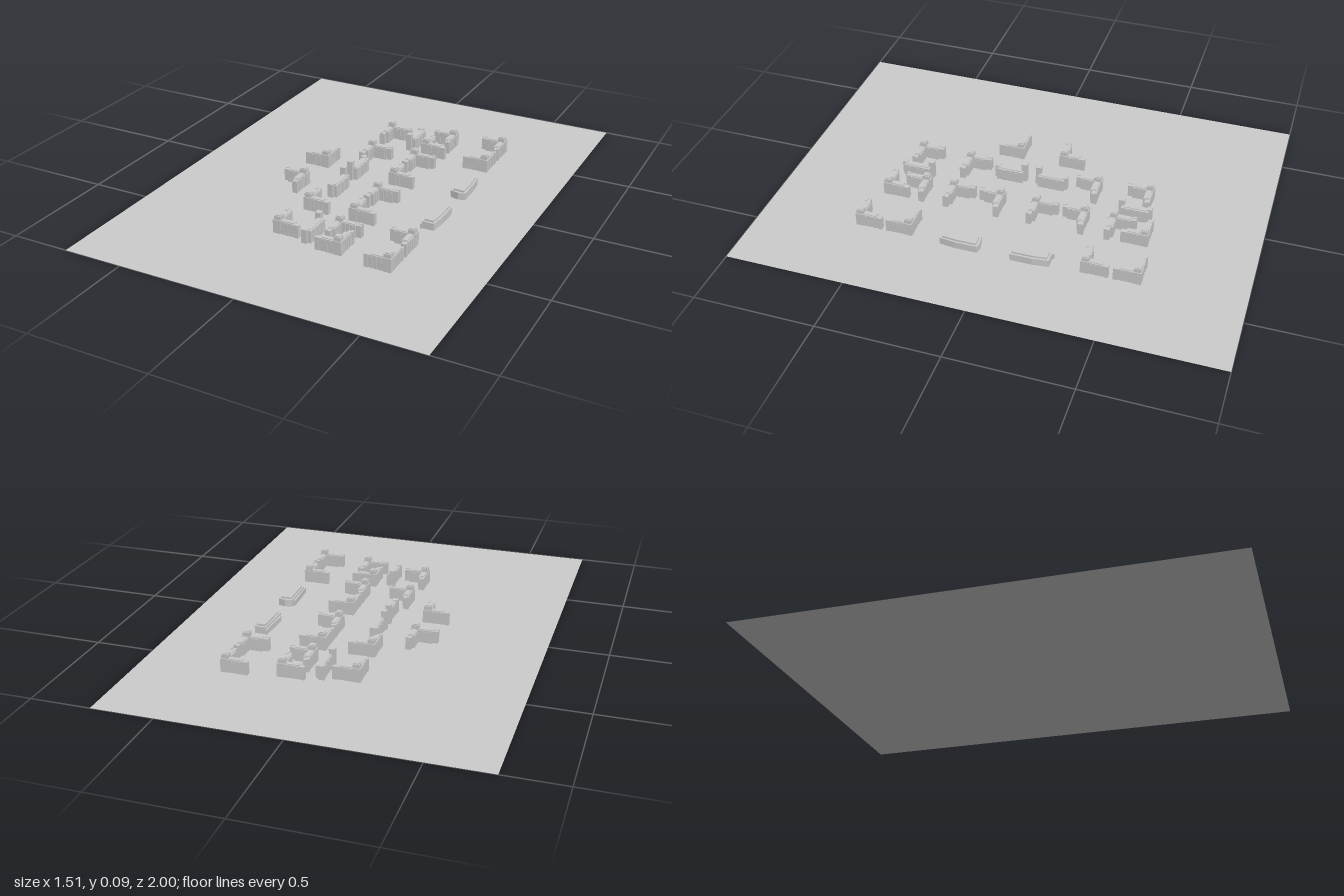
import * as THREE from 'three';

const material = new THREE.MeshStandardMaterial({ color: 0xcccccc, flatShading: true, side: THREE.DoubleSide });

// Upright prism over a plan outline of [x, z] points
function prism(name, outline, height, base = 0.001) {
  const shape = new THREE.Shape(outline.map(([x, z]) => new THREE.Vector2(x, -z)));
  const geometry = new THREE.ExtrudeGeometry(shape, { depth: height - base, bevelEnabled: false });
  geometry.rotateX(-Math.PI / 2).translate(0, base, 0);
  const mesh = new THREE.Mesh(geometry, material);
  mesh.name = name;
  return mesh;
}

function block(name, x0, x1, z0, z1, height, base) {
  return prism(name, [[x0, z1], [x1, z1], [x1, z0], [x0, z0]], height, base);
}

// Wing running along +x from a tower, with bays and a narrower end house
function wing() {
  const g = new THREE.Group();
  g.name = 'wing';
  g.add(
    block('wingBody', 0.012, 0.072, -0.015, 0.013, 0.055),
    block('wingRoof', 0.016, 0.068, -0.010, 0.008, 0.058, 0.055),
    block('endHouse', 0.072, 0.093, -0.015, 0.005, 0.053),
    block('endBay', 0.077, 0.094, -0.018, -0.008, 0.056)
  );
  for (const x of [0.027, 0.045, 0.063])
    g.add(block('bay', x - 0.004, x + 0.004, -0.017, 0.015, 0.05));
  return g;
}

// L-shaped corner building: sx and sz give the wing directions
function cornerBuilding(x, z, sx, sz) {
  const g = new THREE.Group();
  g.name = 'cornerBuilding';
  const along = wing();
  const across = wing();
  // Swap x and z so the second wing mirrors the first across the diagonal
  across.rotation.y = -Math.PI / 2;
  across.scale.z = -1;
  g.add(
    along, across,
    block('towerBase', -0.018, 0.015, -0.018, 0.015, 0.058),
    block('tower', -0.014, 0.014, -0.014, 0.014, 0.074),
    block('towerCap', -0.010, 0.010, -0.010, 0.010, 0.078, 0.074)
  );
  g.position.set(x, 0, z);
  g.scale.set(sx, 1, sz);
  return g;
}

// Straight slab building along z with a small stair tower at one end
function slabBuilding(x, z, towerHeight) {
  const g = new THREE.Group();
  g.name = 'slabBuilding';
  g.add(
    block('slabBody', -0.013, 0.019, -0.058, 0.056, 0.054),
    block('slabRoof', -0.009, 0.012, -0.052, 0.05, 0.057, 0.054),
    block('stairTower', -0.021, 0.002, 0.047, 0.07, towerHeight),
    block('endHouse', -0.018, 0.006, -0.069, -0.05, 0.06)
  );
  for (const bz of [-0.03, 0, 0.03])
    g.add(block('bay', -0.016, 0.021, bz - 0.006, bz + 0.006, 0.049));
  g.position.set(x, 0, z);
  return g;
}

// Low hall with a slightly skewed plan and a stepped roof
function hall(x, z) {
  const g = new THREE.Group();
  g.name = 'hall';
  g.add(
    prism('hallBody', [[-0.028, 0.072], [0.005, 0.08], [0.034, 0.074], [0.034, -0.02], [0.026, -0.085], [-0.024, -0.085]], 0.032),
    prism('hallRoof', [[-0.02, 0.066], [0.026, 0.068], [0.026, -0.02], [0.02, -0.076], [-0.018, -0.076]], 0.04, 0.032),
    prism('sideWall', [[-0.036, 0.06], [-0.028, 0.06], [-0.024, -0.092], [-0.029, -0.092]], 0.024)
  );
  g.position.set(x, 0, z);
  return g;
}

// One half of the district, on the -z side
function halfDistrict() {
  const g = new THREE.Group();
  g.name = 'halfDistrict';
  const corners = [
    [-0.108, -0.505, 1, 1], [0.178, -0.548, -1, 1], [0.108, -0.405, 1, -1],
    [-0.098, -0.283, 1, 1], [0.108, -0.283, 1, 1], [0.108, -0.077, 1, -1],
    [-0.228, -0.098, -1, -1], [0.40, -0.575, -1, 1], [0.40, -0.368, -1, -1],
  ];
  for (const c of corners) g.add(cornerBuilding(...c));
  g.add(slabBuilding(-0.065, -0.09, 0.086), slabBuilding(0.03, -0.475, 0.078), hall(0.4, -0.142));
  return g;
}

export function createModel() {
  const model = new THREE.Group();
  model.name = 'district';

  // Ground sheet
  const ground = new THREE.Mesh(new THREE.PlaneGeometry(1.51, 2).rotateX(-Math.PI / 2), material);
  ground.name = 'ground';
  model.add(ground);

  // Two mirrored halves
  const far = halfDistrict();
  const near = halfDistrict();
  near.scale.z = -1;
  model.add(far, near);
  return model;
}
